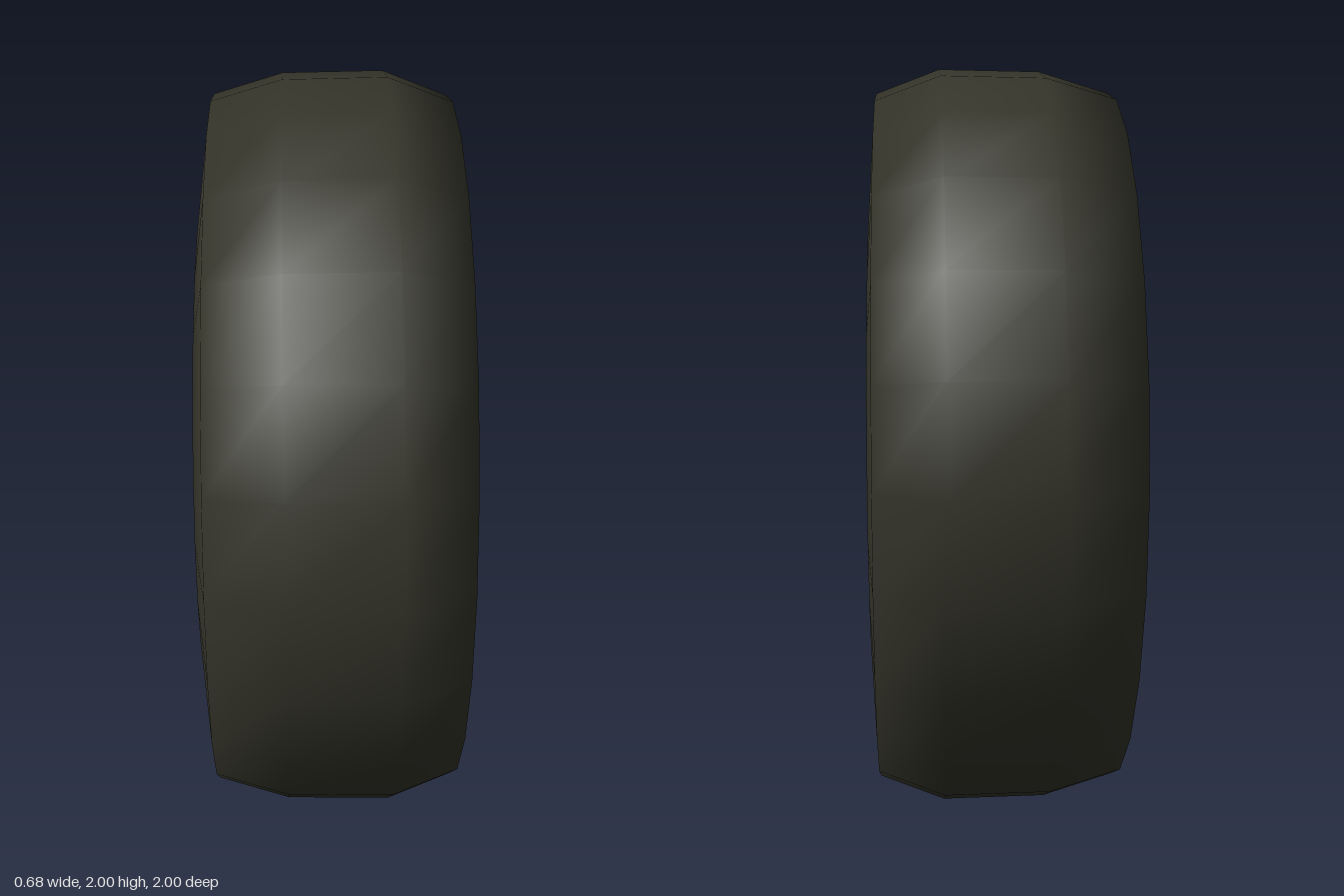
import * as THREE from 'three';

const rubber = new THREE.MeshStandardMaterial({ color: 0x34342a });
rubber.name = 'dark rubber';
const yellow = new THREE.MeshStandardMaterial({ color: 0xcda53c });
yellow.name = 'yellow paint';

export function createModel() {
  const wheel = new THREE.Group();
  wheel.name = 'wheel';
  wheel.position.y = 1;

  const add = (name, geometry, material, parent = wheel) => {
    const mesh = new THREE.Mesh(geometry, material);
    mesh.name = name;
    parent.add(mesh);
    return mesh;
  };

  // Revolve [radius, x] points about the x axis, running from the -x side round to +x
  const turn = (name, points, material, sides, phase = 0) => {
    const profile = points.map(([r, x]) => new THREE.Vector2(r, x));
    const g = new THREE.LatheGeometry(profile, sides, phase);
    add(name, g.rotateZ(-Math.PI / 2), material);
  };

  // Tyre
  turn('tyre', [
    [0.47, -0.315], [0.66, -0.34], [0.94, -0.305], [0.995, -0.12],
    [1.0, 0.15], [0.935, 0.32], [0.66, 0.338], [0.47, 0.305],
  ], rubber, 24);

  // Outer side: sloped rim ring, dark gap, twelve-sided dish
  const phase = THREE.MathUtils.degToRad(7);
  turn('rimRing', [[0.48, 0.318], [0.38, 0.275]], yellow, 48);
  turn('rimGap', [[0.39, 0.262], [0.34, 0.235]], rubber, 48);
  turn('dishWall', [[0.384, 0.279], [0.362, 0.272], [0.35, 0.24]], yellow, 12, phase);
  turn('dishPlate', [[0.352, 0.24], [0.17, 0.25]], yellow, 12, phase);

  // Raised hub
  turn('hubWall', [[0.185, 0.2], [0.185, 0.325]], rubber, 12, phase);
  turn('hubCap', [[0.185, 0.325], [0, 0.325]], rubber, 12, phase);

  // Inner side: flat disc with a tapered well
  turn('backDisc', [[0.22, -0.322], [0.48, -0.322]], yellow, 48);
  turn('backWell', [[0.185, -0.19], [0.22, -0.322]], yellow, 24);
  turn('wellFloor', [[0, -0.19], [0.19, -0.19]], rubber, 12, phase);

  // Bolt holes, twelve on each side
  const holes = (name, x, radius, size) => {
    const group = new THREE.Group();
    group.name = name;
    wheel.add(group);
    const side = Math.sign(x);
    for (let i = 0; i < 12; i++) {
      const a = (i * Math.PI) / 6;
      const hole = add('boltHole', new THREE.CircleGeometry(size, 8), rubber, group);
      hole.rotation.y = (side * Math.PI) / 2;
      hole.position.set(x, radius * Math.cos(a), radius * Math.sin(a));
    }
  };
  holes('outerBoltHoles', 0.251, 0.24, 0.016);
  holes('innerBoltHoles', -0.325, 0.33, 0.02);

  // Narrow seams near the edge of the inner disc
  for (let i = 0; i < 12; i++) {
    const g = new THREE.RingGeometry(0.436, 0.441, 6, 1, (i * Math.PI) / 6, 0.2);
    const seam = add('backSeam', g, rubber);
    seam.rotation.y = -Math.PI / 2;
    seam.position.x = -0.324;
  }

  return wheel;
}
